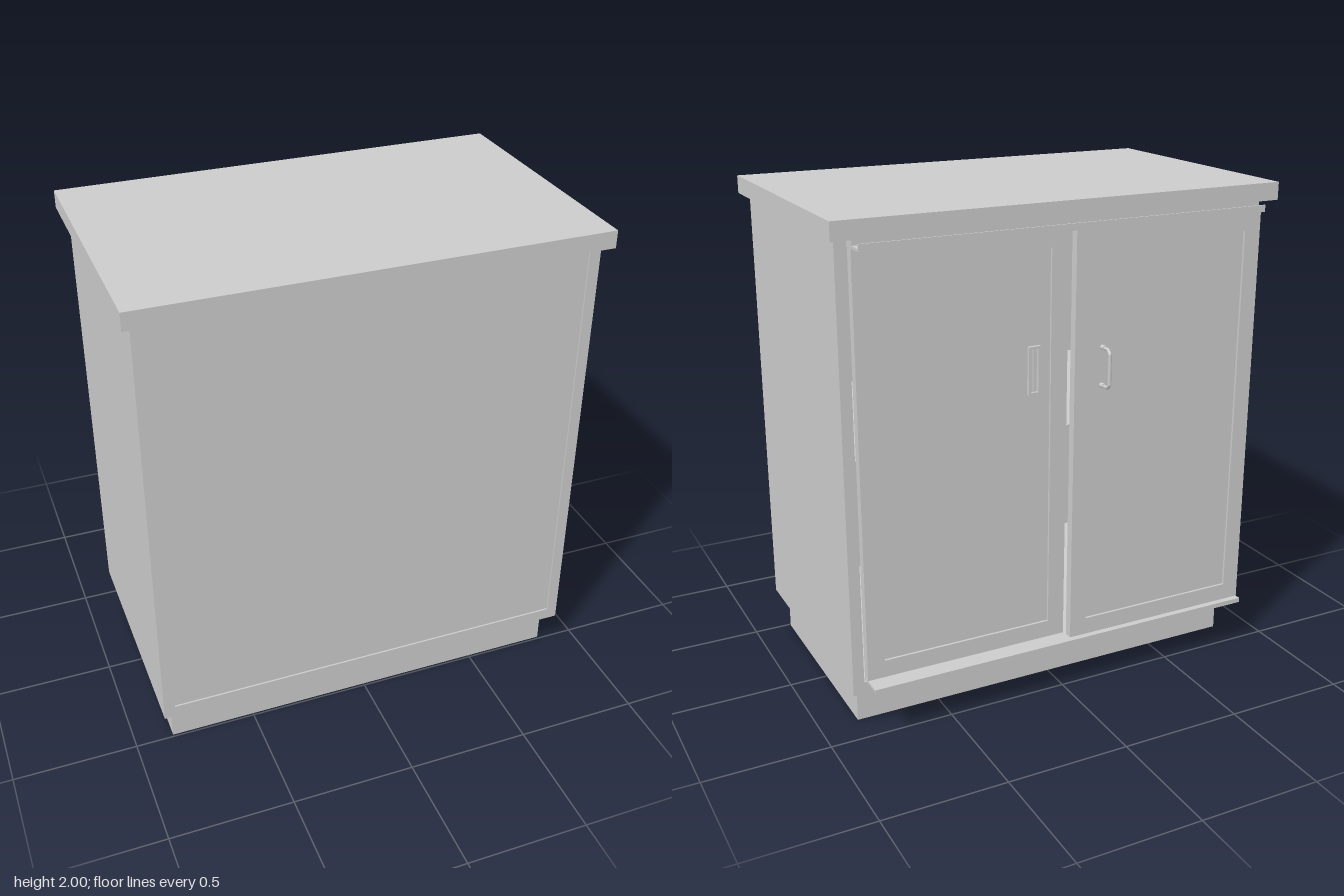
import * as THREE from 'three';

const mat = new THREE.MeshStandardMaterial({ color: 0xcccccc });

function add(parent, name, geometry) {
  const mesh = new THREE.Mesh(geometry, mat);
  mesh.name = name;
  parent.add(mesh);
  return mesh;
}

// Box given by its limits on each axis
function box(parent, name, x0, x1, y0, y1, z0, z1) {
  const mesh = add(parent, name, new THREE.BoxGeometry(x1 - x0, y1 - y0, z1 - z0));
  mesh.position.set((x0 + x1) / 2, (y0 + y1) / 2, (z0 + z1) / 2);
  return mesh;
}

// Rectangular frame with an even border, extruded along z
function frame(parent, name, x0, x1, y0, y1, z0, z1, border) {
  const rect = (C, b) => new C([
    new THREE.Vector2(x0 + b, y0 + b), new THREE.Vector2(x1 - b, y0 + b),
    new THREE.Vector2(x1 - b, y1 - b), new THREE.Vector2(x0 + b, y1 - b),
  ]);
  const shape = rect(THREE.Shape, 0);
  shape.holes.push(rect(THREE.Path, border));
  const mesh = add(parent, name, new THREE.ExtrudeGeometry(shape, { depth: z1 - z0, bevelEnabled: false }));
  mesh.position.z = z0;
}

// Sliding door: frame with a slightly recessed panel
function door(parent, name, x0, x1, z0, z1) {
  const group = new THREE.Group();
  group.name = name;
  const y0 = 0.23, y1 = 1.895, b = 0.07;
  frame(group, 'doorFrame', x0, x1, y0, y1, z0, z1, b);
  box(group, 'doorPanel', x0 + b, x1 - b, y0 + b, y1 - b, z0 + 0.01, z1 - 0.01);
  parent.add(group);
  return group;
}

export function createModel() {
  const cabinet = new THREE.Group();
  cabinet.name = 'cabinet';

  // Carcass
  box(cabinet, 'plinth', -0.845, 0.845, 0, 0.16, -0.37, 0.49);
  box(cabinet, 'bottomBoard', -0.885, 0.885, 0.16, 0.21, -0.45, 0.55);
  box(cabinet, 'worktop', -0.92, 0.92, 1.93, 2, -0.52, 0.59);
  for (const s of [-1, 1]) {
    const a = s * 0.84, b = s * 0.885;
    box(cabinet, s > 0 ? 'leftSide' : 'rightSide', Math.min(a, b), Math.max(a, b), 0.21, 1.93, -0.45, 0.55);
  }
  box(cabinet, 'closedPanel', -0.84, 0.84, 0.21, 1.93, 0.51, 0.543);
  box(cabinet, 'shelf', -0.84, 0.84, 1.05, 1.095, -0.4, 0.51);

  // Sliding tracks above and below the doors
  box(cabinet, 'topTrackBlock', -0.835, 0.835, 1.905, 1.93, -0.49, -0.44);
  for (const [name, y, lip0, lip1] of [['topTrack', 1.9, 1.895, 1.922], ['bottomTrack', 0.224, 0.21, 0.23]]) {
    box(cabinet, name, -0.835, 0.835, y - 0.005, y + 0.005, -0.55, -0.44);
    box(cabinet, name + 'Lip', -0.835, 0.835, lip0, lip1, -0.555, -0.549);
  }

  // Inner door with a flush finger pull
  const inner = door(cabinet, 'innerDoor', -0.01, 0.835, -0.48, -0.445);
  frame(inner, 'fingerPull', 0.105, 0.155, 1.27, 1.46, -0.484, -0.468, 0.01);
  box(inner, 'fingerPullBar', 0.127, 0.133, 1.28, 1.45, -0.478, -0.468);

  // Outer door with a bow handle
  const outer = door(cabinet, 'outerDoor', -0.835, -0.015, -0.53, -0.495);
  const path = new THREE.CurvePath();
  const pts = [[1.285, -0.525], [1.285, -0.57], [1.30, -0.584], [1.42, -0.584], [1.435, -0.57], [1.435, -0.525]]
    .map(([y, z]) => new THREE.Vector3(-0.135, y, z));
  for (let i = 1; i < pts.length; i++) path.add(new THREE.LineCurve3(pts[i - 1], pts[i]));
  add(outer, 'handle', new THREE.TubeGeometry(path, 48, 0.007, 10, false));
  for (const y of [1.285, 1.435]) {
    const foot = add(outer, 'handleFoot', new THREE.CylinderGeometry(0.01, 0.01, 0.02, 14));
    foot.rotation.x = Math.PI / 2;
    foot.position.set(-0.135, y, -0.535);
  }
  return cabinet;
}
